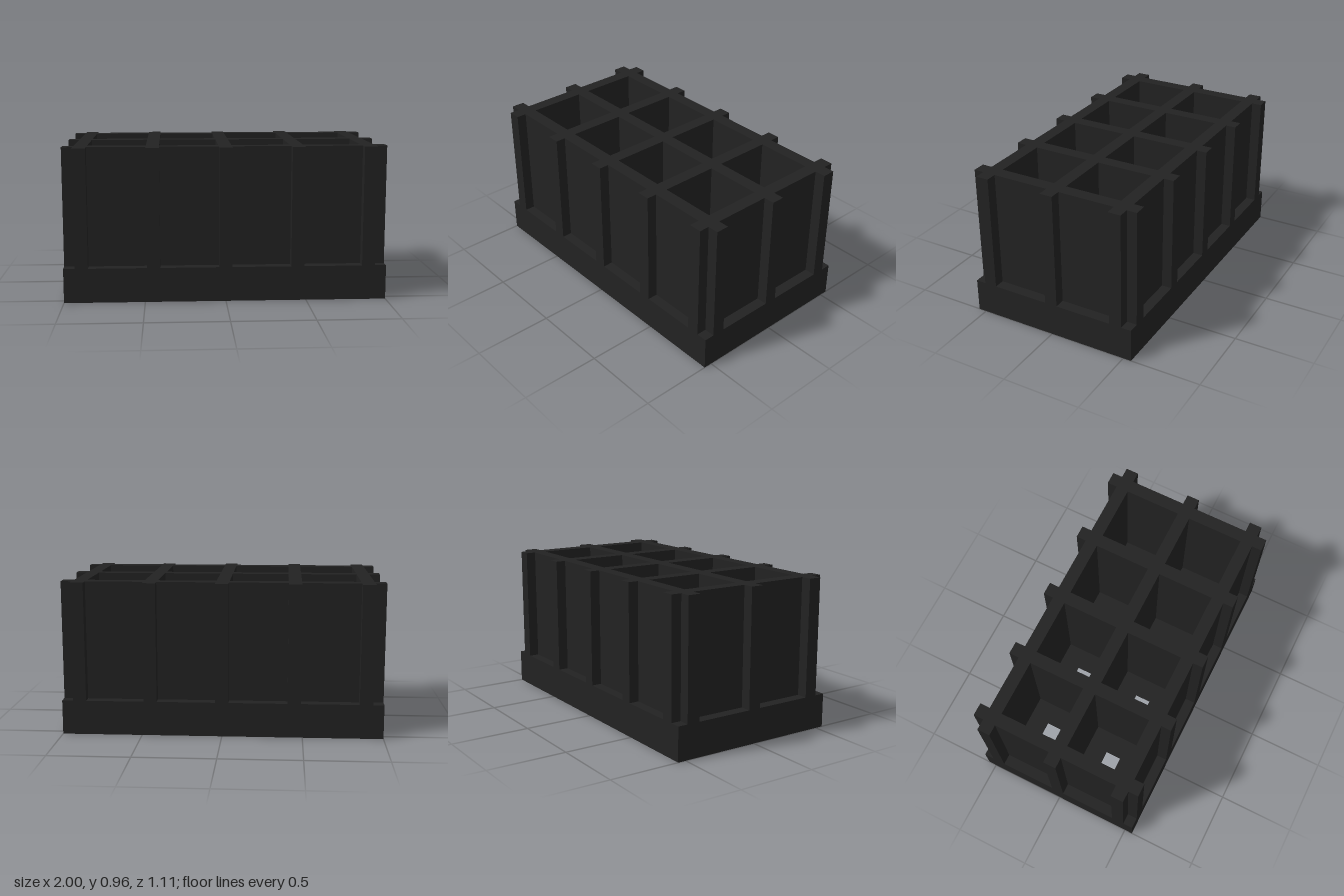
import * as THREE from 'three';

export function createModel() {
  const group = new THREE.Group();
  const black = new THREE.MeshStandardMaterial({ color: 0x222222 });
  black.name = 'matte black';
  const grey = new THREE.MeshStandardMaterial({ color: 0x9ea2a9 });
  grey.name = 'light grey';

  const W = 2, H = 0.957, D = 1.105, baseH = 0.215, t = 0.082;
  const xs = [-0.89, -0.447, 0, 0.447, 0.89]; // cross wall centres
  const zs = [-0.447, 0, 0.447]; // long wall centres

  // Solid plinth
  const base = new THREE.Mesh(new THREE.BoxGeometry(W, baseH, D), black);
  base.name = 'base';
  base.position.y = baseH / 2;
  group.add(base);

  // Interlocking walls in plan: each bar runs to the plinth edge, so its ends form the outer ribs
  const rect = (Target, x0, x1, z0, z1) => {
    const s = new Target();
    s.moveTo(x0, z0);
    s.lineTo(x1, z0);
    s.lineTo(x1, z1);
    s.lineTo(x0, z1);
    s.closePath();
    return s;
  };
  const h = t / 2, ex = xs[4] + h, ez = zs[2] + h;
  const outline = [];
  zs.forEach(z => outline.push([ex, z - h], [W / 2, z - h], [W / 2, z + h], [ex, z + h]));
  [...xs].reverse().forEach(x => outline.push([x + h, ez], [x + h, D / 2], [x - h, D / 2], [x - h, ez]));
  [...zs].reverse().forEach(z => outline.push([-ex, z + h], [-W / 2, z + h], [-W / 2, z - h], [-ex, z - h]));
  xs.forEach(x => outline.push([x - h, -ez], [x - h, -D / 2], [x + h, -D / 2], [x + h, -ez]));
  // Neighbouring bars share their corner points
  const points = outline.map(([x, z]) => new THREE.Vector2(x, z))
    .filter((p, i, all) => i === 0 || p.distanceTo(all[i - 1]) > 1e-6);
  if (points[0].distanceTo(points[points.length - 1]) < 1e-6) points.pop();
  const plan = new THREE.Shape(points);
  for (let i = 0; i < 4; i++) {
    for (let j = 0; j < 2; j++) {
      plan.holes.push(rect(THREE.Path, xs[i] + h, xs[i + 1] - h, zs[j] + h, zs[j + 1] - h));
    }
  }
  const wallGeometry = new THREE.ExtrudeGeometry(plan, { depth: H - baseH, bevelEnabled: false });
  wallGeometry.rotateX(-Math.PI / 2);
  const walls = new THREE.Mesh(wallGeometry, black);
  walls.name = 'compartmentWalls';
  walls.position.y = baseH;
  group.add(walls);

  // Small square plate on the floor of every compartment
  const plateGeometry = new THREE.BoxGeometry(0.1, 0.008, 0.1);
  for (const x of [-0.672, -0.224, 0.224, 0.672]) {
    for (const z of [-0.224, 0.224]) {
      const plate = new THREE.Mesh(plateGeometry, grey);
      plate.name = 'floorPlate';
      plate.position.set(x, baseH + 0.004, z);
      group.add(plate);
    }
  }
  return group;
}
